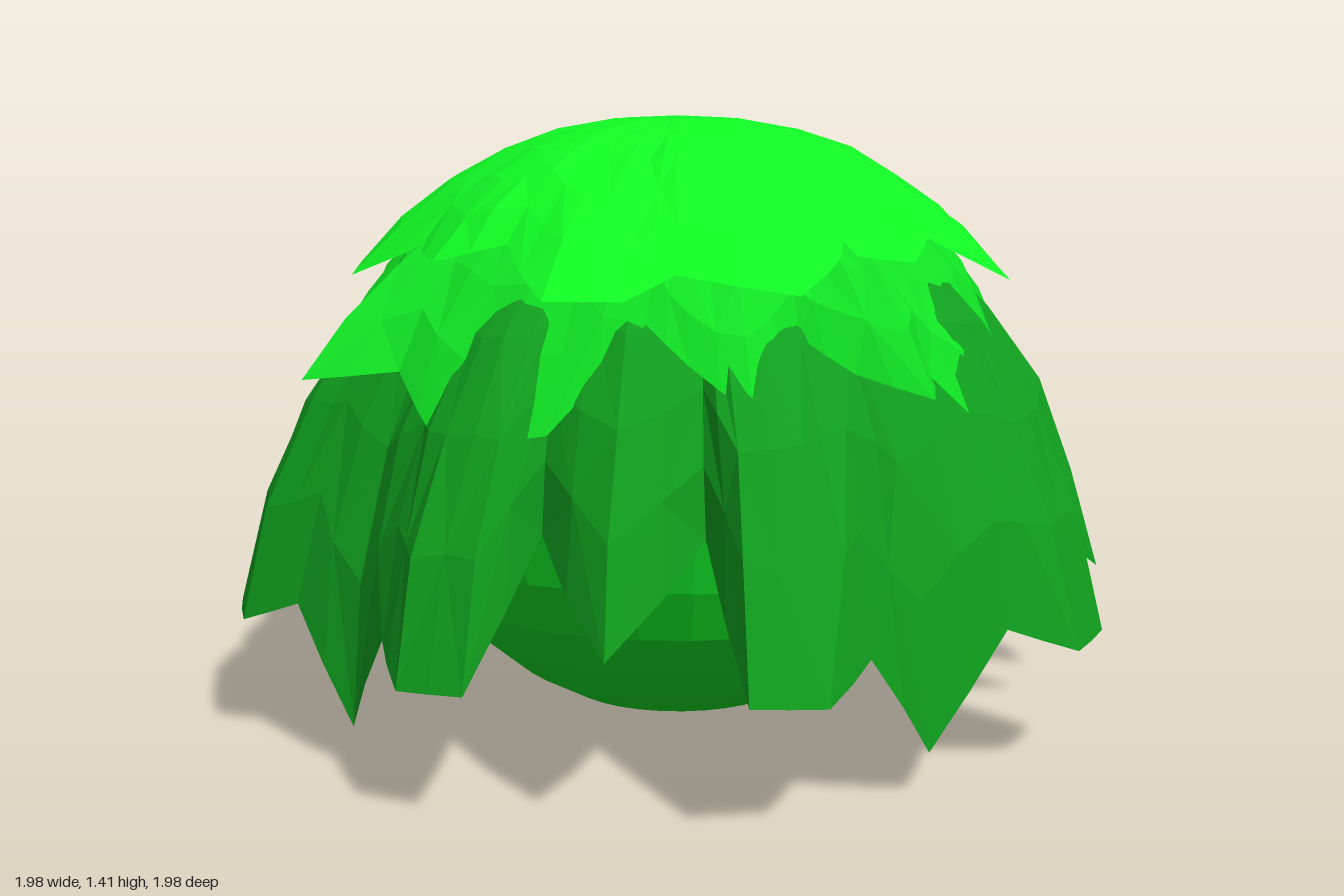
import * as THREE from 'three';

const DEG = Math.PI / 180;

// Small seeded generator for the crumpled facets
function seeded(seed) {
  return () => {
    seed = (seed * 16807) % 2147483647;
    return seed / 2147483647 - 0.5;
  };
}

// Complete a 0 to 45 degree outline to a quarter by mirroring
function mirrorQuarter(half) {
  return [...half, ...half.slice(1, -1).reverse().map(([a, r, y]) => [90 - a, r, y])];
}

// Repeat a quarter outline of [degrees, radius, height] four times round,
// with halfway points so the leaves get more facets
function fullEdge(quarter) {
  const ring = [];
  for (let k = 0; k < 4; k++) quarter.forEach(([a, r, y]) => ring.push([a + 90 * k, r, y]));
  return ring.flatMap((p, i) => {
    const q = ring[(i + 1) % ring.length];
    const qa = q[0] < p[0] ? q[0] + 360 : q[0];
    return [p, [(p[0] + qa) / 2, (p[1] + q[1]) / 2, (p[2] + q[2]) / 2]];
  });
}

// Draped sheet of leaves: every spoke is a curve from the crown to the jagged edge
function leafLayer({ name, color, quarter, start, bend, rows, rough, seed }) {
  const rand = seeded(seed);
  const edge = fullEdge(quarter);
  const n = edge.length;
  const positions = [];
  const index = [];
  for (let j = 0; j <= rows; j++) {
    const t = j / rows;
    const u = 1 - t;
    const jitter = j > 0 && j < rows ? rough * t : 0;
    edge.forEach(([deg, er, ey]) => {
      const br = bend.base + bend.follow * er;
      const r = u * u * start[0] + 2 * u * t * br + t * t * er + rand() * jitter;
      const y = u * u * start[1] + 2 * u * t * bend.y + t * t * ey + rand() * jitter;
      const a = deg * DEG + rand() * jitter * 0.6;
      positions.push(r * Math.sin(a), y, r * Math.cos(a));
    });
  }
  for (let j = 0; j < rows; j++) {
    for (let i = 0; i < n; i++) {
      const a = j * n + i;
      const b = j * n + ((i + 1) % n);
      const c = a + n;
      const d = b + n;
      if ((i + j) % 2) index.push(a, c, d, a, d, b);
      else index.push(a, c, b, b, c, d);
    }
  }
  const geometry = new THREE.BufferGeometry();
  geometry.setAttribute('position', new THREE.Float32BufferAttribute(positions, 3));
  geometry.setIndex(index);
  geometry.computeVertexNormals();
  const mesh = new THREE.Mesh(
    geometry,
    new THREE.MeshStandardMaterial({ color, flatShading: true, side: THREE.DoubleSide })
  );
  mesh.name = name;
  return mesh;
}

export function createModel() {
  const group = new THREE.Group();
  group.name = 'bush';

  // Round core
  const core = new THREE.Mesh(
    new THREE.SphereGeometry(0.68, 32, 16),
    new THREE.MeshStandardMaterial({ color: 0x10d822, flatShading: true })
  );
  core.name = 'core';
  core.position.y = 0.68;
  group.add(core);

  // Long drooping leaves: a folded one on each axis, a broad one on each diagonal
  group.add(leafLayer({
    name: 'lowerLeaves', color: 0x10a01e, rows: 5, rough: 0.035, seed: 11,
    start: [0.4, 1.25], bend: { base: 0.48, follow: 0.4, y: 0.98 },
    quarter: mirrorQuarter([[0, 0.99, 0.37], [12.5, 0.78, 0.57], [16, 1.03, 0.29],
      [25, 1.03, 0.28], [33, 0.93, 0.34], [45, 0.88, 0.1]]),
  }));

  // Shorter leaves, turned against the lower ones
  group.add(leafLayer({
    name: 'middleLeaves', color: 0x10e424, rows: 5, rough: 0.03, seed: 23,
    start: [0.25, 1.345], bend: { base: 0.5, follow: 0.2, y: 1.2 },
    quarter: [[-28, 0.83, 0.74], [-11, 0.8, 0.78], [3, 0.7, 1.0], [10, 0.74, 0.92],
      [19, 0.82, 0.83], [29, 0.7, 0.97], [35, 0.8, 0.9], [41, 0.95, 0.86], [50, 0.79, 0.88]],
  }));

  // Crown cap with ragged rim
  group.add(leafLayer({
    name: 'crownLeaves', color: 0x10fa24, rows: 6, rough: 0.015, seed: 37,
    start: [0, 1.41], bend: { base: 0.4, follow: 0.08, y: 1.415 },
    quarter: [[-12, 0.79, 1.05], [0, 0.75, 1.05], [8, 0.7, 1.1], [27, 0.77, 1.06],
      [40, 0.66, 1.13], [52, 0.72, 1.11], [65, 0.65, 1.15]],
  }));

  return group;
}
